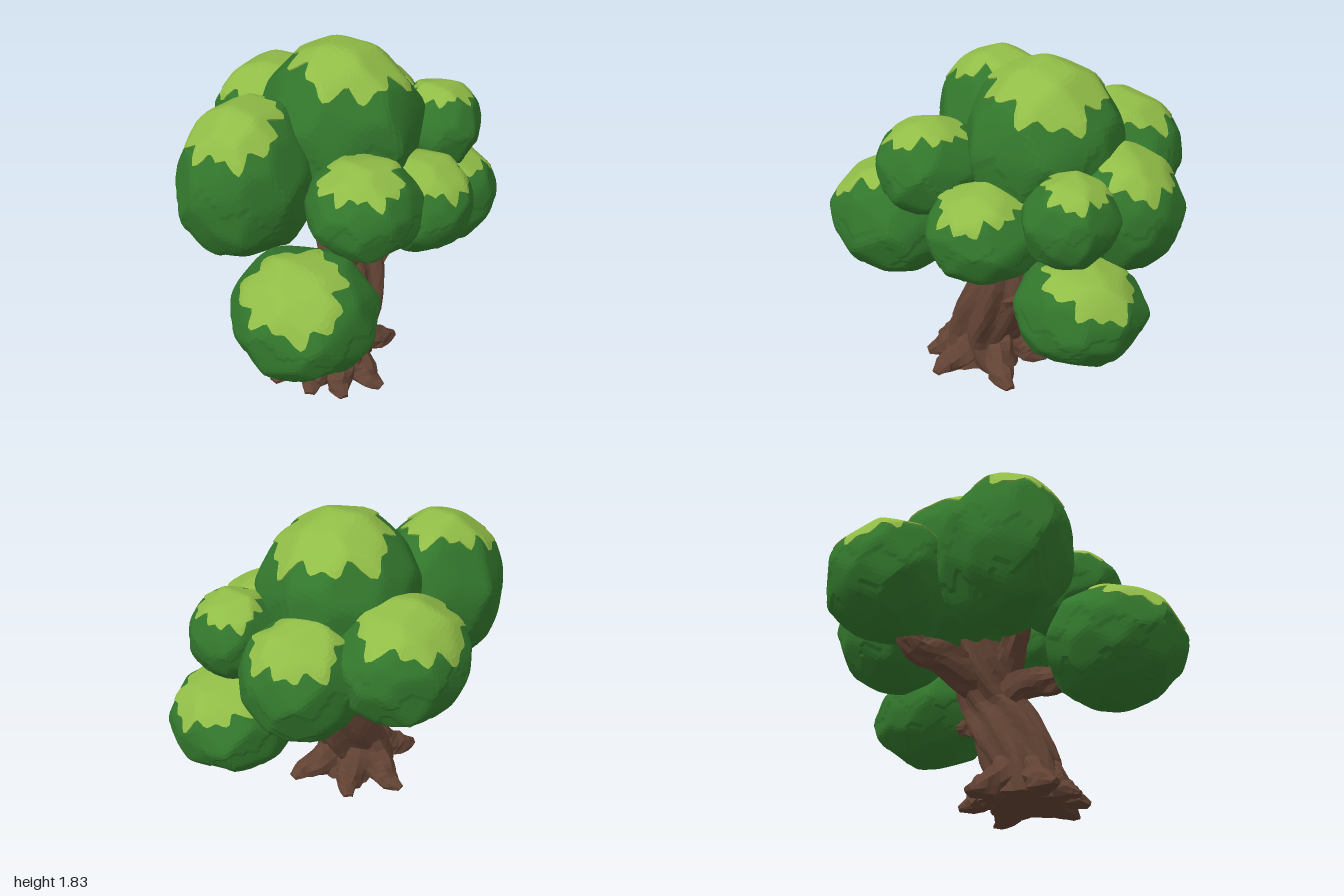
import * as THREE from 'three';

const mat = (name, color) => {
  const m = new THREE.MeshStandardMaterial({ color, flatShading: true });
  m.name = name;
  return m;
};

// Small seeded random generator
function seeded(seed) {
  let s = seed * 7919 + 17;
  return () => {
    s = (s * 16807) % 2147483647;
    return s / 2147483647;
  };
}

// Surface from rows x cols points; columns wrap around
function gridGeometry(rows, cols, pointAt) {
  const pos = [], idx = [];
  for (let i = 0; i <= rows; i++)
    for (let j = 0; j < cols; j++) pos.push(...pointAt(i, (j / cols) * Math.PI * 2).toArray());
  for (let i = 0; i < rows; i++)
    for (let j = 0; j < cols; j++) {
      const a = i * cols + j, b = i * cols + ((j + 1) % cols);
      idx.push(a, b, a + cols, b, b + cols, a + cols);
    }
  const g = new THREE.BufferGeometry();
  g.setAttribute('position', new THREE.Float32BufferAttribute(pos, 3));
  g.setIndex(idx);
  const flat = g.toNonIndexed();
  flat.computeVertexNormals();
  return flat;
}

// Gnarled limb: ridged, twisted rings swept along a path, closed at both ends
function limb(path, radii, { rows = 12, cols = 22, twist = 3, seed = 0 } = {}) {
  const curve = new THREE.CatmullRomCurve3(path.map((p) => new THREE.Vector3(...p)));
  const frames = curve.computeFrenetFrames(rows, false);
  return gridGeometry(rows + 2, cols, (i, a) => {
    const k = Math.min(Math.max(i - 1, 0), rows), t = k / rows;
    const f = t * (radii.length - 1), n = Math.min(Math.floor(f), radii.length - 2);
    let r = THREE.MathUtils.lerp(radii[n], radii[n + 1], f - n);
    r *= 1 + 0.08 * Math.sin(5 * a + twist * t * 3 + seed)
      + 0.09 * Math.sin(8 * a + twist * t * 4 + seed * 2 + 0.8 * Math.sin(t * 9));
    if (i === 0 || i === rows + 2) r = 0;
    const p = curve.getPoint(t)
      .addScaledVector(frames.normals[k], r * Math.cos(a))
      .addScaledVector(frames.binormals[k], r * Math.sin(a));
    p.y = Math.max(p.y, 0);
    return p;
  });
}

// Chiselled ball: radius in direction d, from softly blended cutting planes and ragged leaf tiers
function leafRadius(seed) {
  const rnd = seeded(seed), planes = [], count = 48;
  for (let i = 0; i < count; i++) {
    const y = 1 - (2 * (i + 0.5)) / count, a = i * 2.39996 + rnd() * 0.6, s = Math.sqrt(1 - y * y);
    planes.push({ n: new THREE.Vector3(s * Math.cos(a), y, s * Math.sin(a)), h: 0.97 + rnd() * 0.05 });
  }
  return (d) => {
    let sum = 0;
    for (const { n, h } of planes) sum += Math.pow(Math.max(d.dot(n), 0) / h, 55);
    let r = Math.pow(sum, -1 / 55);
    const a = Math.atan2(d.z, d.x);
    const jag = 0.13 * Math.sin(4 * a + seed) + 0.1 * Math.asin(Math.sin(9 * a + seed * 2));
    if (d.y < 0.05 + jag) r -= 0.015;
    if (d.y < -0.55 - jag) r -= 0.02;
    return r;
  };
}

export function createModel() {
  const tree = new THREE.Group();
  tree.name = 'tree';
  const bark = mat('bark brown', 0x624334);
  const leaf = mat('leaf green', 0x32762c);
  const light = mat('sunlit leaf green', 0x91bd47);

  const add = (parent, name, geometry, material) => {
    const m = new THREE.Mesh(geometry, material);
    m.name = name;
    parent.add(m);
  };

  // Trunk, leaning and twisting upwards
  const wood = new THREE.Group();
  wood.name = 'wood';
  tree.add(wood);
  add(wood, 'trunk', limb(
    [[-0.16, 0, 0.2], [-0.16, 0.2, 0.22], [-0.06, 0.4, 0.2], [0.03, 0.6, 0.17], [0.05, 0.8, 0.1], [0.08, 1.1, 0.02]],
    [0.21, 0.185, 0.185, 0.16, 0.15, 0.1], { rows: 16, cols: 40 }), bark);

  // Branches reaching into the crown
  const branches = [
    ['leftBranch', [[0.02, 0.58, 0.18], [-0.14, 0.69, 0.22], [-0.28, 0.68, 0.3], [-0.55, 0.72, 0.4]], [0.12, 0.08, 0.075, 0.04]],
    ['rightBranch', [[0.03, 0.46, 0.19], [0.18, 0.54, 0.2], [0.34, 0.59, 0.22], [0.6, 0.66, 0.24]], [0.12, 0.075, 0.045, 0.03]],
    ['backBranch', [[0.05, 0.7, 0.12], [0.08, 0.82, -0.15], [0.1, 0.84, -0.32], [0.12, 1.05, -0.45]], [0.12, 0.09, 0.07, 0.03]],
    ['upperBranch', [[0.02, 0.68, 0.16], [-0.09, 0.85, 0.17], [-0.18, 1.0, 0.17], [-0.25, 1.18, 0.2]], [0.11, 0.08, 0.06, 0.04]],
  ];
  branches.forEach(([name, path, radii], i) => add(wood, name, limb(path, radii, { cols: 14, seed: i + 1 }), bark));

  // Roots spreading over the ground: direction in degrees, reach
  const roots = [[-40, 0.33], [20, 0.39], [91, 0.365], [127, 0.34], [160, 0.33], [195, 0.385], [268, 0.365]];
  roots.forEach(([degrees, reach], i) => {
    const a = THREE.MathUtils.degToRad(degrees);
    const at = (d, y, turn) => [-0.155 + d * Math.cos(a + turn), y, 0.195 + d * Math.sin(a + turn)];
    add(wood, 'root', limb([at(0.1, 0.16, -0.1), at(0.2, 0.07, 0), at(reach * 0.77, 0.03, 0.06), at(reach, 0.005, 0)],
      [0.1, 0.085, 0.065, 0.025], { rows: 8, cols: 10, seed: i }), bark);
  });

  // Foliage: name, centre, radii, direction of the sunlit patch, patch angle
  const clumps = [
    ['topFoliage', [0.11, 1.34, 0.01], [0.415, 0.46, 0.415], [0.15, 1, 0.05], 0.76],
    ['backFoliage', [0.14, 1.19, -0.45], [0.36, 0.325, 0.345], [-0.05, 1, -0.25], 0.83],
    ['upperLeftFoliage', [-0.43, 1.22, -0.14], [0.39, 0.43, 0.335], [-0.25, 1, 0], 0.67],
    ['frontLeftFoliage', [-0.25, 1.24, 0.48], [0.28, 0.25, 0.285], [-0.12, 1, 0.02], 0.74],
    ['frontFoliage', [0.19, 1.04, 0.47], [0.3, 0.25, 0.295], [0.1, 1, 0.25], 0.74],
    ['frontRightFoliage', [0.61, 1.22, 0.265], [0.235, 0.235, 0.235], [0.18, 1, -0.05], 0.72],
    ['backRightFoliage', [0.5, 1.1, -0.14], [0.34, 0.33, 0.32], [0.33, 1, -0.15], 0.7],
    ['lowRightFoliage', [0.665, 0.73, 0.245], [0.335, 0.265, 0.315], [0.42, 1, 0], 0.74],
    ['lowLeftFoliage', [-0.635, 0.775, 0.43], [0.36, 0.32, 0.365], [-0.45, 1, 0.14], 0.75],
  ];
  clumps.forEach(([name, centre, size, axis, angle], n) => {
    const group = new THREE.Group();
    group.name = name;
    group.position.set(...centre);
    tree.add(group);
    const radius = leafRadius(n + 1), scale = new THREE.Vector3(...size);

    const ball = new THREE.IcosahedronGeometry(1, 14);
    const p = ball.attributes.position, v = new THREE.Vector3();
    for (let i = 0; i < p.count; i++) {
      v.fromBufferAttribute(p, i).normalize();
      v.multiplyScalar(radius(v)).multiply(scale);
      p.setXYZ(i, v.x, v.y, v.z);
    }
    ball.computeVertexNormals();
    add(group, 'leaves', ball, leaf);

    // Sunlit patch with a ragged, dripping edge
    const turn = new THREE.Quaternion().setFromUnitVectors(
      new THREE.Vector3(0, 1, 0), new THREE.Vector3(...axis).normalize());
    const rings = 10;
    const patch = gridGeometry(rings + 1, 72, (i, a) => {
      const f = Math.min(i / rings, 1);
      const ragged = 0.09 * Math.sin(3 * a + n) + 0.1 * Math.sin(7 * a + n * 2)
        + 0.08 * Math.asin(Math.sin(12 * a + n * 3));
      const th = angle * f * (1 + f * f * ragged);
      const d = new THREE.Vector3(Math.sin(th) * Math.cos(a), Math.cos(th), Math.sin(th) * Math.sin(a))
        .applyQuaternion(turn);
      return d.multiplyScalar(radius(d) + (i > rings ? -0.02 : 0.018)).multiply(scale);
    });
    add(group, 'sunlitLeaves', patch, light);
  });
  return tree;
}
